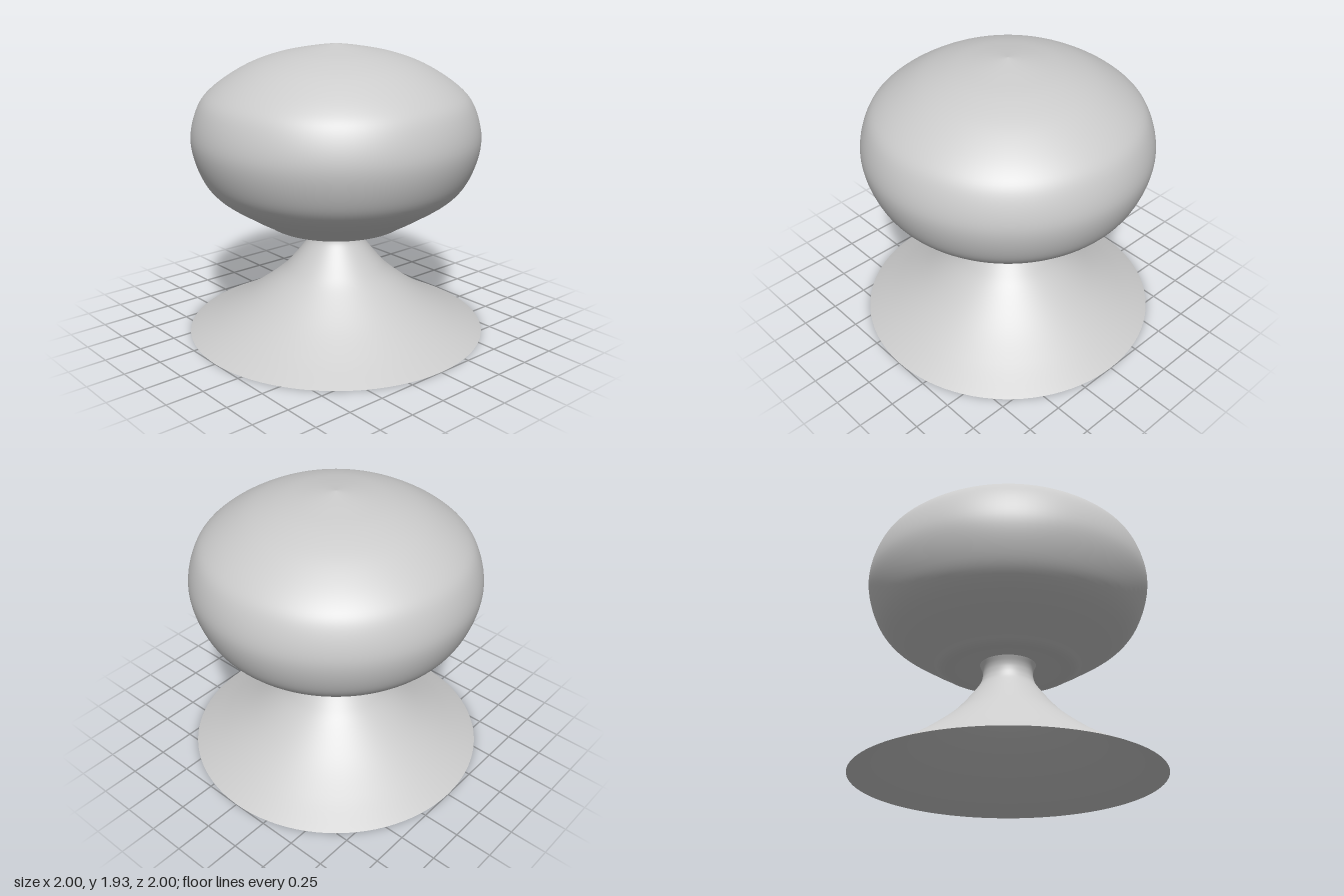
import * as THREE from 'three';

const material = new THREE.MeshStandardMaterial({ color: 0xcccccc, side: THREE.DoubleSide });

// Smooth surface of revolution through [radius, height] points, bottom to top
function turned(name, profile, samples) {
  const curve = new THREE.SplineCurve(profile.map(([r, y]) => new THREE.Vector2(r, y)));
  const points = curve.getPoints(samples);
  points.forEach((p) => { p.x = Math.max(p.x, 0); });
  const mesh = new THREE.Mesh(new THREE.LatheGeometry(points, 96), material);
  mesh.name = name;
  return mesh;
}

export function createModel() {
  const group = new THREE.Group();
  group.name = 'mushroom';

  // Thin flared foot, open underneath, narrowing into the neck
  group.add(turned('flaredStem', [
    [1, 0], [0.8, 0.1], [0.6, 0.22], [0.4, 0.372], [0.3, 0.473],
    [0.2, 0.6], [0.172, 0.655], [0.165, 0.7], [0.17, 0.735], [0.185, 0.77],
  ], 60));

  // Rounded cap with a slightly hollow underside and a pointed crown
  group.add(turned('cap', [
    [0.185, 0.77], [0.28, 0.75], [0.38, 0.735], [0.44, 0.742], [0.5, 0.778],
    [0.6, 0.837], [0.8, 0.975], [0.9, 1.125], [0.947, 1.33], [0.9, 1.53],
    [0.8, 1.655], [0.6, 1.785], [0.4, 1.862], [0.2, 1.905], [0, 1.935],
  ], 90));

  return group;
}
